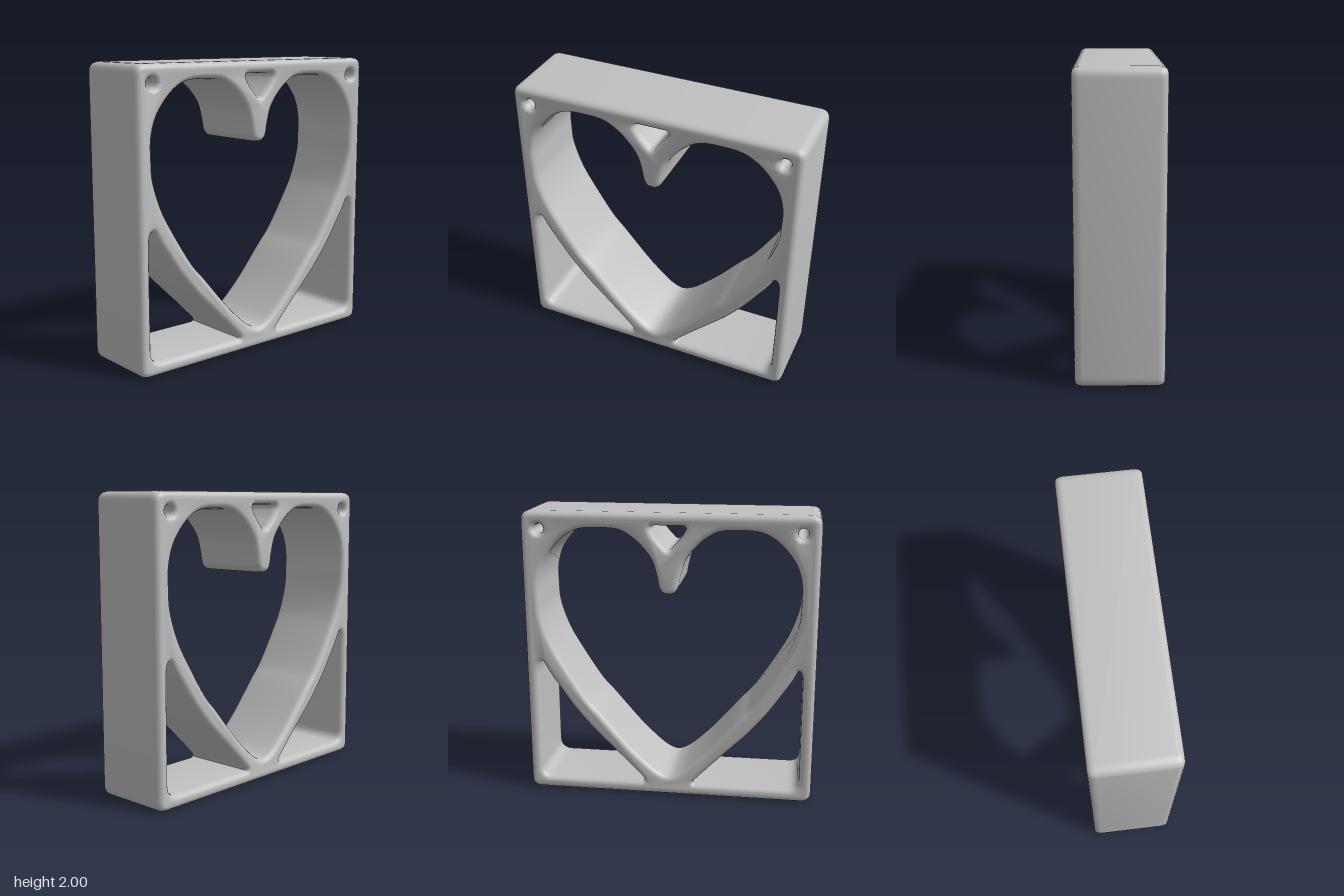
import * as THREE from 'three';
import { toCreasedNormals } from 'three/addons/utils/BufferGeometryUtils.js';

// Closed polygon whose corners [x, y, trim] are rounded by quadratic curves
function rounded(path, pts) {
  const v = pts.map(([x, y]) => new THREE.Vector2(x, y));
  const n = pts.length;
  const toward = (i, j) => {
    const d = v[j].clone().sub(v[i]);
    return v[i].clone().add(d.setLength(Math.min(pts[i][2], d.length() * 0.48)));
  };
  for (let i = 0; i < n; i++) {
    const a = toward(i, (i + n - 1) % n), b = toward(i, (i + 1) % n);
    if (i === 0) path.moveTo(a.x, a.y);
    else path.lineTo(a.x, a.y);
    path.quadraticCurveTo(v[i].x, v[i].y, b.x, b.y);
  }
  path.closePath();
  return path;
}

// Heart opening: right half from the bottom point to the spike, then mirrored
function heartHole() {
  const half = [
    [0.05, 0.155], [0.13, 0.21], [0.28, 0.355], [0.47, 0.575], [0.58, 0.7], [0.74, 0.95],
    [0.82, 1.1], [0.875, 1.27], [0.885, 1.4], [0.883, 1.54], [0.845, 1.67], [0.765, 1.78],
    [0.68, 1.85], [0.59, 1.885], [0.47, 1.892], [0.35, 1.885], [0.27, 1.85], [0.19, 1.785],
    [0.115, 1.69], [0.082, 1.59], [0.063, 1.5], [0.035, 1.462],
  ];
  const loop = [[0, 0.14], ...half, [0, 1.455],
    ...half.slice().reverse().map(([x, y]) => [-x, y]), [0, 0.14]];
  const [start, ...rest] = loop.map(([x, y]) => new THREE.Vector2(x, y));
  const path = new THREE.Path();
  path.moveTo(start.x, start.y);
  path.splineThru(rest);
  return path;
}

export function createModel() {
  const group = new THREE.Group();
  const grey = new THREE.MeshStandardMaterial({ color: 0xc0c0c0 });
  grey.name = 'plainGrey';

  // Square outline
  const shape = rounded(new THREE.Shape(), [
    [-1, 0, 0.07], [1, 0, 0.07], [1, 2, 0.07], [-1, 2, 0.07],
  ]);
  shape.holes.push(heartHole());

  // Triangular gap above the spike
  shape.holes.push(rounded(new THREE.Path(), [
    [-0.13, 1.915, 0.04], [0.13, 1.915, 0.04], [0.085, 1.835, 0.05], [0, 1.745, 0.03], [-0.085, 1.835, 0.05],
  ]));

  for (const s of [-1, 1]) {
    // Gap between heart strut and lower frame corner
    shape.holes.push(rounded(new THREE.Path(), [
      [0.16, 0.09, 0.035], [0.915, 0.09, 0.08], [0.915, 0.91, 0.06], [0.89, 0.965, 0.03],
      [0.84, 0.87, 0.05], [0.68, 0.635, 0.06], [0.545, 0.475, 0.06], [0.3, 0.235, 0.06],
    ].map(([x, y, t]) => [s * x, y, t])));

    // Small hole in the upper corner
    const hole = new THREE.Path();
    hole.absarc(s * 0.88, 1.88, 0.034, 0, Math.PI * 2, false);
    shape.holes.push(hole);
  }

  // Deep extrusion with softly rounded rims
  const depth = 0.47;
  const geometry = new THREE.ExtrudeGeometry(shape, {
    depth, curveSegments: 6, bevelEnabled: true, bevelSegments: 4,
    bevelSize: 0.035, bevelThickness: 0.05, bevelOffset: -0.035,
  });
  geometry.translate(0, 0, -depth / 2);

  const frame = new THREE.Mesh(toCreasedNormals(geometry, 0.7), grey);
  frame.name = 'heartFrame';
  group.add(frame);
  return group;
}
